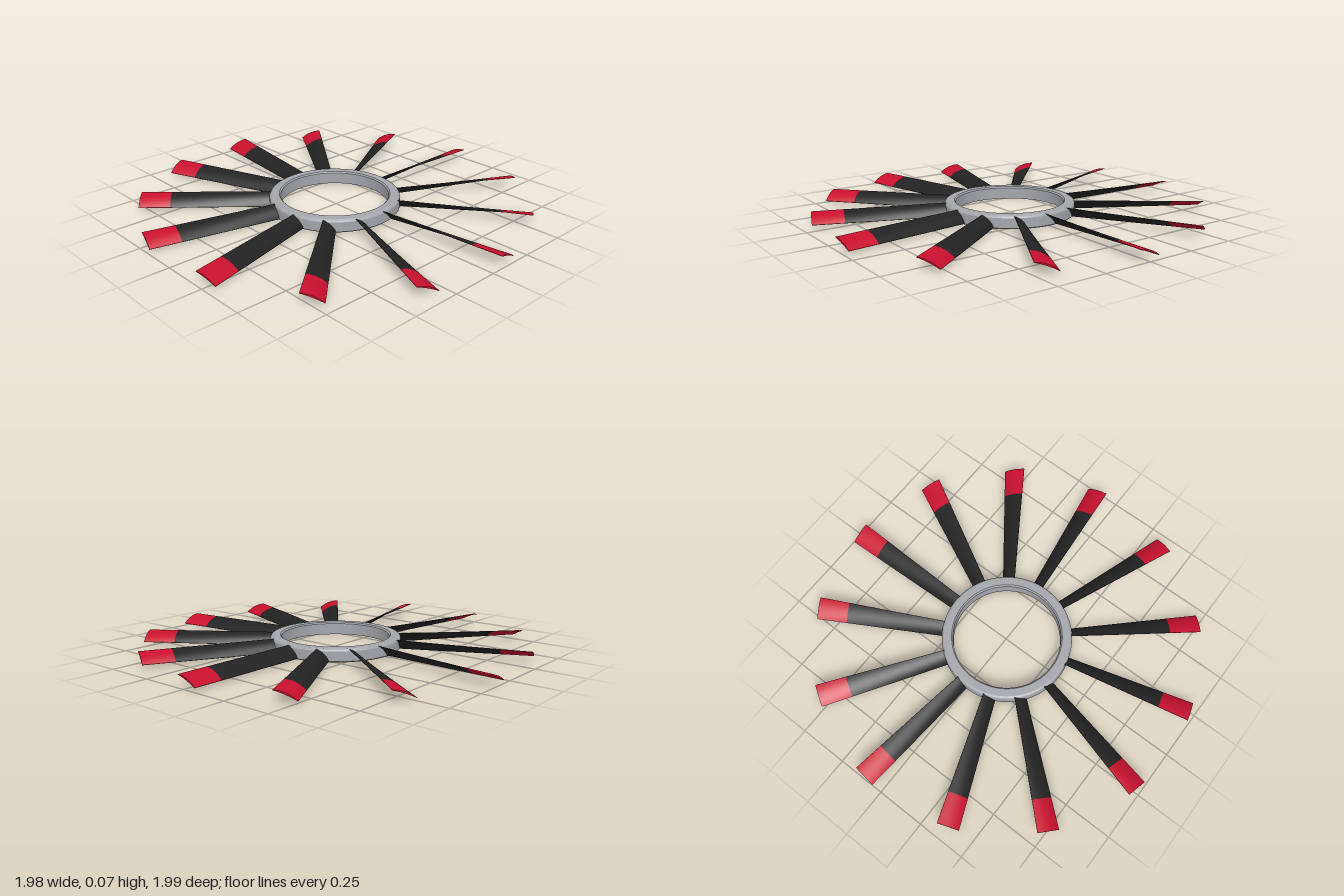
import * as THREE from 'three';

const BLADES = 13;
const ROOT = 0.31, BAND = 0.84, TIP = 0.997;

const metal = new THREE.MeshStandardMaterial({ name: 'hubGrey', color: 0xa4a6ab });
const black = new THREE.MeshStandardMaterial({ name: 'bladeBlack', color: 0x222222 });
const red = new THREE.MeshStandardMaterial({ name: 'tipRed', color: 0xc8102e });

// Twisted, cambered blade section between two radii, pointing along +x
function bladeGeometry(r0, r1, segments) {
  const geo = new THREE.BoxGeometry(1, 2, 2, segments, 1, 10);
  const pos = geo.attributes.position;
  const lerp = THREE.MathUtils.lerp;
  for (let i = 0; i < pos.count; i++) {
    const r = lerp(r0, r1, pos.getX(i) + 0.5);
    const side = pos.getY(i), s = pos.getZ(i);
    const t = (r - ROOT) / (TIP - ROOT);
    const width = lerp(0.060, 0.107, t);   // chord seen from above
    const rise = lerp(0.058, 0.041, t);    // height of the pitched chord
    const chord = Math.hypot(width, rise);
    const bulge = 1 - s * s;
    const off = 0.007 * (bulge - 0.4) + side * (0.001 + 0.003 * bulge);
    pos.setXYZ(i, r,
      lerp(0.036, 0.039, t) + rise / 2 * s + off * width / chord,
      -0.008 + width / 2 * s - off * rise / chord);
  }
  geo.computeVertexNormals();
  return geo;
}

// Hub ring: flat-walled band with rounded outer top edge and small chamfers
function hubRing() {
  const profile = [
    [0.277, 0], [0.330, 0], [0.335, 0.005], [0.335, 0.055], [0.331, 0.062],
    [0.323, 0.067], [0.284, 0.067], [0.277, 0.060], [0.277, 0],
  ];
  const ring = new THREE.Group();
  ring.name = 'hubRing';
  // one lathe per profile edge keeps the edges sharp and the walls smooth
  for (let i = 0; i < profile.length - 1; i++) {
    const pts = [profile[i], profile[i + 1]].map(p => new THREE.Vector2(...p));
    const band = new THREE.Mesh(new THREE.LatheGeometry(pts, 96), metal);
    band.name = 'hubBand' + (i + 1);
    ring.add(band);
  }
  return ring;
}

export function createModel() {
  const model = new THREE.Group();
  model.name = 'fanRotor';
  const rotor = new THREE.Group();
  rotor.name = 'rotor';
  rotor.position.set(-0.007, 0, -0.002);
  model.add(rotor);
  rotor.add(hubRing());

  const bodyGeo = bladeGeometry(ROOT, BAND, 12);
  const tipGeo = bladeGeometry(BAND, TIP, 4);

  // Blades spaced evenly around the ring
  for (let i = 0; i < BLADES; i++) {
    const blade = new THREE.Group();
    blade.name = 'blade' + (i + 1);
    const body = new THREE.Mesh(bodyGeo, black);
    body.name = 'bladeBody';
    const tip = new THREE.Mesh(tipGeo, red);
    tip.name = 'bladeTip';
    blade.add(body, tip);
    blade.rotation.y = i * Math.PI * 2 / BLADES;
    rotor.add(blade);
  }
  return model;
}
